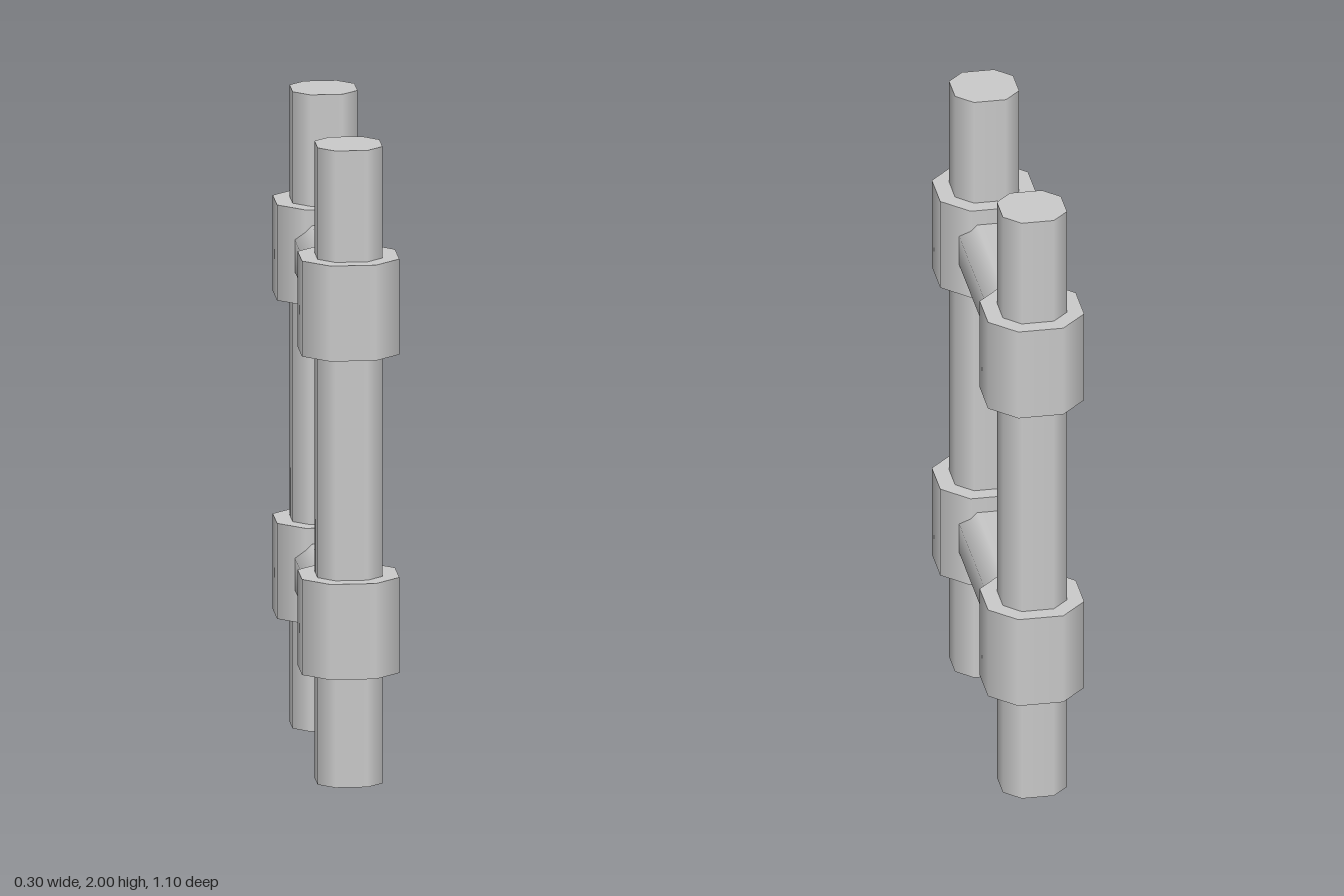
import * as THREE from 'three';

const material = new THREE.MeshStandardMaterial({ color: 0xcccccc });

// Upright bar with a chamfered square section: half = half width, flat = half width of each main face
function chamferedBar(name, half, flat, length) {
  const geometry = new THREE.CylinderGeometry(1, 1, length, 8);
  geometry.rotateY(Math.PI / 8);
  const p = geometry.attributes.position;
  const snap = (v) => (Math.abs(v) < 0.1 ? 0 : Math.sign(v) * (Math.abs(v) > 0.7 ? half : flat));
  for (let i = 0; i < p.count; i++) p.setXYZ(i, snap(p.getX(i)), p.getY(i), snap(p.getZ(i)));
  const mesh = new THREE.Mesh(geometry, material);
  mesh.name = name;
  return mesh;
}

export function createModel() {
  const group = new THREE.Group();
  group.name = 'ladderSegment';
  const heights = [['lower', 0.5], ['upper', 1.5]];

  // Posts, each with two collars
  for (const [side, z] of [['front', 0.4], ['back', -0.4]]) {
    const post = chamferedBar(`${side}Post`, 0.1, 0.05, 2);
    post.position.set(0, 1, z);
    group.add(post);
    for (const [level, y] of heights) {
      const collar = chamferedBar(`${side}${level === 'lower' ? 'Lower' : 'Upper'}Collar`, 0.15, 0.07, 0.3);
      collar.position.set(0, y, z);
      group.add(collar);
    }
  }

  // Rungs joining the collars
  for (const [level, y] of heights) {
    const rung = chamferedBar(`${level}Rung`, 0.1, 0.05, 0.8);
    rung.rotation.x = Math.PI / 2;
    rung.position.y = y;
    group.add(rung);
  }
  return group;
}
